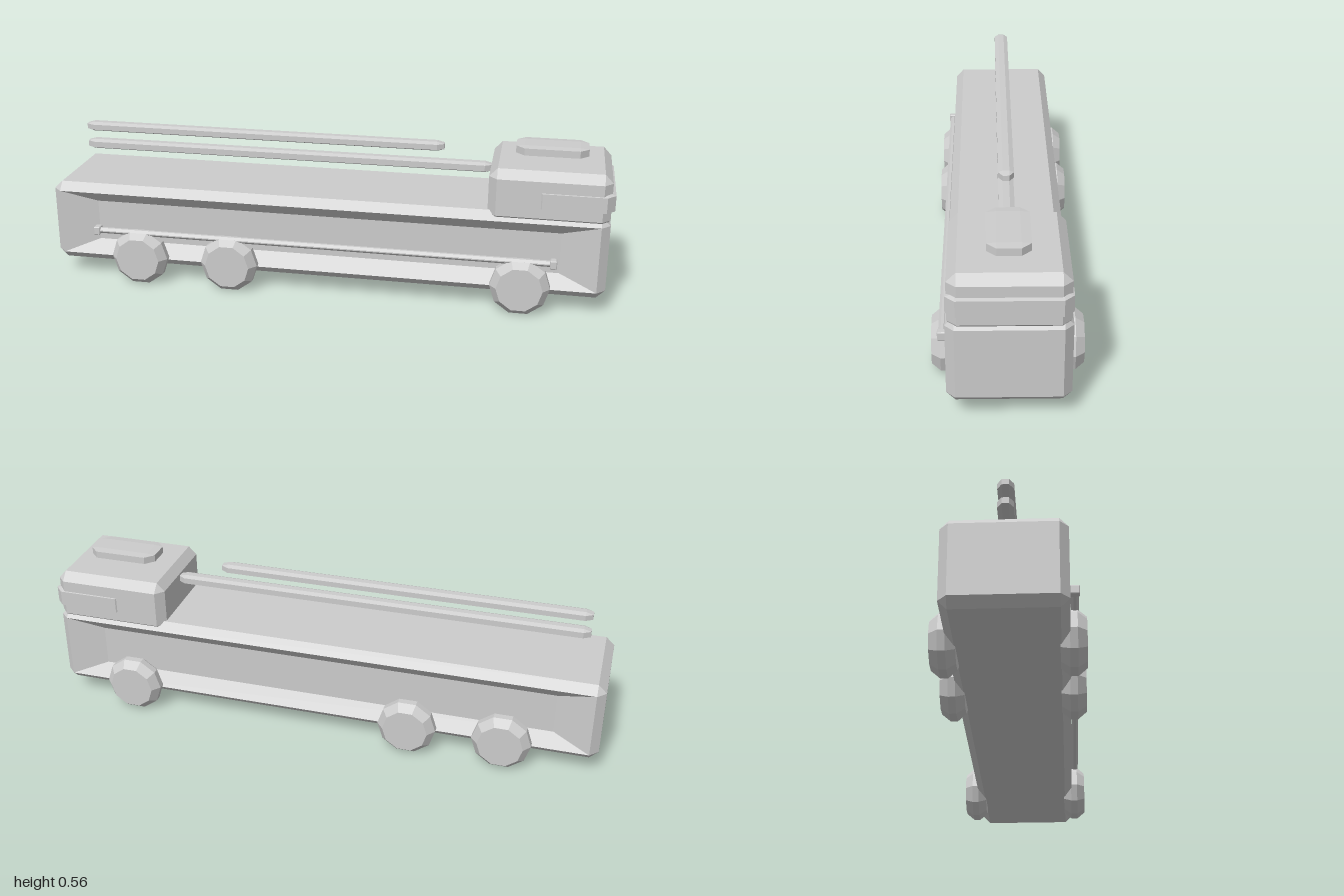
import * as THREE from 'three';

const bodyGrey = new THREE.MeshStandardMaterial({ color: 0xcccccc });
bodyGrey.name = 'body grey';

// Eight-point ring at depth z: a rectangle whose corners are cut by cx, cy
function ring(x0, x1, y0, y1, cx, cy, z) {
  return [
    [x1, y0 + cy], [x1, y1 - cy], [x1 - cx, y1], [x0 + cx, y1],
    [x0, y1 - cy], [x0, y0 + cy], [x0 + cx, y0], [x1 - cx, y0],
  ].map(([x, y]) => new THREE.Vector3(x, y, z));
}

// Flat-faceted skin through rings ordered from back to front, capped at both ends
function loft(rings) {
  const out = [];
  const tri = (a, b, c) => {
    const area = b.clone().sub(a).cross(c.clone().sub(a)).length();
    if (area > 1e-9) for (const p of [a, b, c]) out.push(p.x, p.y, p.z);
  };
  for (let r = 0; r < rings.length - 1; r++) {
    const a = rings[r], b = rings[r + 1];
    for (let i = 0; i < 8; i++) {
      const j = (i + 1) % 8;
      tri(a[i], a[j], b[j]);
      tri(a[i], b[j], b[i]);
    }
  }
  const back = rings[0], front = rings[rings.length - 1];
  for (let i = 1; i < 7; i++) {
    tri(front[0], front[i], front[i + 1]);
    tri(back[0], back[i + 1], back[i]);
  }
  const geo = new THREE.BufferGeometry();
  geo.setAttribute('position', new THREE.Float32BufferAttribute(out, 3));
  geo.computeVertexNormals();
  return geo;
}

// Box with every edge cut, with separate cut sizes along x, y and z
function cutBox([x0, x1], [y0, y1], [z0, z1], [cx, cy, cz]) {
  const face = z => ring(x0 + cx, x1 - cx, y0 + cy, y1 - cy, 0, 0, z);
  const edge = z => ring(x0, x1, y0, y1, cx, cy, z);
  return loft([face(z0), edge(z0 + cz), edge(z1 - cz), face(z1)]);
}

// Long hull with a sunken panel along each side
function hullGeometry() {
  const panel = z => ring(-0.84, 0.83, 0.137, 0.285, 0, 0, z);
  const face = z => ring(-0.97, 0.96, 0.088, 0.327, 0, 0, z);
  const edge = z => ring(-1, 0.99, 0.06, 0.357, 0.03, 0.029, z);
  return loft([panel(-0.153), face(-0.19), edge(-0.162), edge(0.162), face(0.19), panel(0.153)]);
}

// Ten-sided wheel with bevelled rims, flat side down, axle along z
function wheelGeometry() {
  const profile = [[0, -0.041], [0.08, -0.041], [0.104, -0.012], [0.104, 0.012], [0.08, 0.041], [0, 0.041]]
    .map(([r, h]) => new THREE.Vector2(r, h));
  const geo = new THREE.LatheGeometry(profile, 10, Math.PI / 10).toNonIndexed();
  geo.rotateX(Math.PI / 2);
  geo.computeVertexNormals();
  return geo;
}

export function createModel() {
  const truck = new THREE.Group();
  truck.name = 'fireTruck';
  const add = (name, geo) => {
    const mesh = new THREE.Mesh(geo, bodyGrey);
    mesh.name = name;
    truck.add(mesh);
    return mesh;
  };

  add('hull', hullGeometry());

  // Cab with its wraparound window band and roof light bar
  add('cab', cutBox([0.575, 0.988], [0.315, 0.506], [-0.184, 0.184], [0.028, 0.03, 0.03]));
  add('windowBand', cutBox([0.73, 1], [0.37, 0.445], [-0.188, 0.188], [0.028, 0.01, 0.03]));
  add('lightBar', cutBox([0.657, 0.905], [0.525, 0.556], [-0.067, 0.067], [0.03, 0.003, 0.03]));

  // Two ladder rails above the deck and a pole along the left side
  add('upperLadder', cutBox([-0.92, 0.407], [0.508, 0.541], [-0.026, 0.026], [0.025, 0.007, 0.015]));
  add('lowerLadder', cutBox([-0.92, 0.577], [0.44, 0.475], [-0.026, 0.026], [0.025, 0.007, 0.015]));
  add('sidePole', cutBox([-0.835, 0.82], [0.182, 0.202], [0.192, 0.217], [0.01, 0.008, 0.008]));
  for (const x of [-0.827, 0.81])
    add('poleEnd', cutBox([x - 0.012, x + 0.012], [0.177, 0.207], [0.19, 0.22], [0.003, 0.003, 0.003]));

  // Three axles
  const wheel = wheelGeometry();
  for (const x of [-0.67, -0.335, 0.7])
    for (const side of [-1, 1])
      add(side > 0 ? 'leftWheel' : 'rightWheel', wheel).position.set(x, 0.099, side * 0.2);

  return truck;
}
